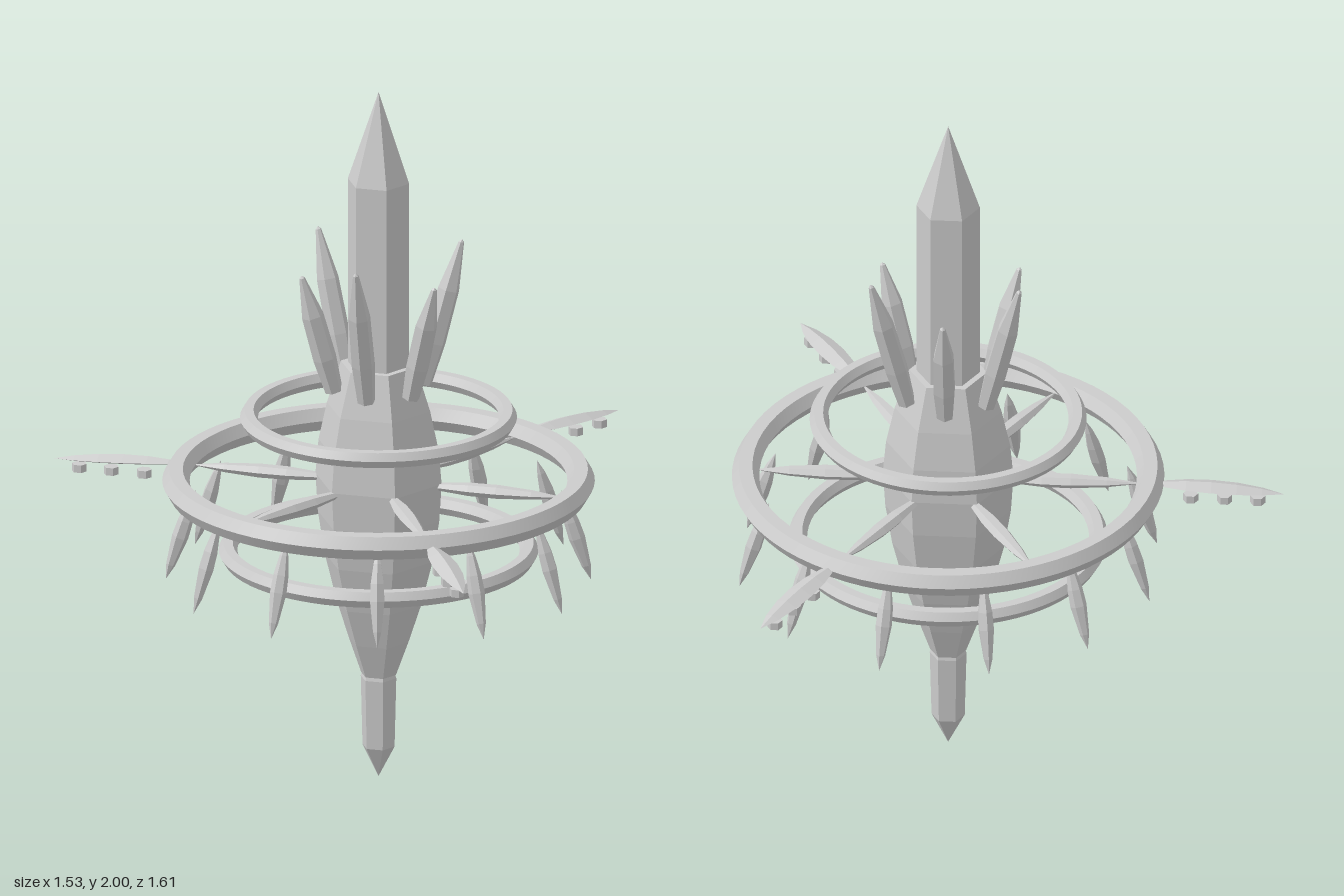
import * as THREE from 'three';
import { toCreasedNormals } from 'three/addons/utils/BufferGeometryUtils.js';

const flat = new THREE.MeshStandardMaterial({ color: 0xcccccc, flatShading: true });
const smooth = new THREE.MeshStandardMaterial({ color: 0xcccccc });

// faceted solid of revolution from [radius, height] pairs, bottom to top
function facet(profile, sides = 6) {
  const pts = profile.map(([r, y]) => new THREE.Vector2(r, y));
  return new THREE.LatheGeometry(pts, sides, Math.PI / 2);
}

function add(parent, name, geometry, material = flat) {
  const mesh = new THREE.Mesh(geometry, material);
  mesh.name = name;
  parent.add(mesh);
  return mesh;
}

// horizontal blade lying along +x, flattened to the given thickness ratio
function blade(profile, ratio, sides) {
  return facet(profile, sides).rotateY(Math.PI / 2).scale(ratio, 1, 1).rotateZ(-Math.PI / 2);
}

// turn a group so that its +x points outwards at an angle measured from +x towards +z
function spoke(parent, name, degrees) {
  const g = new THREE.Group();
  g.name = name;
  g.rotation.y = -THREE.MathUtils.degToRad(degrees);
  parent.add(g);
  return g;
}

export function createModel() {
  const root = new THREE.Group();
  const station = new THREE.Group();
  station.name = 'station';
  station.position.x = -0.167;
  root.add(station);

  // central hexagonal column
  add(station, 'lowerCrystal', facet([[0, 0], [0.046, 0.09], [0.051, 0.29], [0.045, 0.31], [0, 0.31]]));
  add(station, 'hull', facet([[0, 0.295], [0.05, 0.3], [0.086, 0.4], [0.122, 0.51], [0.155, 0.64],
    [0.174, 0.76], [0.181, 0.87], [0.172, 0.97], [0.148, 1.08], [0.108, 1.205], [0, 1.205]]));
  add(station, 'spire', facet([[0, 1.19], [0.088, 1.19], [0.088, 1.74], [0, 2]]));

  // rings with a hexagonal section
  for (const [name, y, R, r] of [
    ['upperRing', 1.05, 0.358, 0.025],
    ['mainRing', 0.865, 0.56, 0.038],
    ['lowerRing', 0.662, 0.416, 0.026],
  ]) {
    const geo = new THREE.TorusGeometry(R, r, 6, 72).rotateX(Math.PI / 2);
    add(station, name, toCreasedNormals(geo, 0.6), smooth).position.y = y;
  }

  // crown of leaning crystals, alternately long and short
  for (let i = 0; i < 6; i++) {
    const L = i % 2 ? 0.365 : 0.435;
    const g = spoke(station, 'crownCrystal', 30 + i * 60);
    const geo = facet([[0, 0], [0.025, 0.008], [0.033, L * 0.3], [0.031, L * 0.66],
      [0.008, L * 0.98], [0, L]]);
    const m = add(g, 'crystal', geo);
    m.position.set(0.125, 1.13, 0);
    m.rotation.z = -0.265;
  }

  // spokes between hull and main ring
  const spokeGeo = blade([[0, 0.14], [0.014, 0.17], [0.024, 0.26], [0.025, 0.34],
    [0.017, 0.44], [0, 0.54]], 0.75, 6);
  for (let i = 0; i < 6; i++) {
    add(spoke(station, 'spoke', i * 60), 'spokeBlade', spokeGeo).position.y = 0.862;
  }

  // three outer arms, each with three pods underneath
  const armGeo = blade([[0, 0.56], [0.018, 0.6], [0.031, 0.66], [0.036, 0.73], [0.033, 0.8],
    [0.021, 0.87], [0, 0.931]], 0.4, 4);
  const p = armGeo.attributes.position;
  for (let i = 0; i < p.count; i++) {
    // droop towards the tip
    const t = (p.getX(i) - 0.56) / 0.37;
    p.setY(i, p.getY(i) + 0.864 - 0.02 * t * t);
  }
  const podGeo = facet([[0, -0.011], [0.021, -0.011], [0.021, 0.011], [0, 0.011]]);
  for (let i = 0; i < 3; i++) {
    const g = spoke(station, 'outerArm', i * 120);
    add(g, 'armBlade', armGeo);
    for (const x of [0.672, 0.766, 0.858]) add(g, 'pod', podGeo).position.set(x, 0.825, 0);
  }

  // spikes hanging outwards below the main ring
  const spikeGeo = facet([[0, 0], [0.013, 0.045], [0.023, 0.13], [0.021, 0.18], [0.012, 0.235], [0, 0.275]]);
  for (let i = 0; i < 12; i++) {
    const m = add(spoke(station, 'hangingSpike', 15 + i * 30), 'spike', spikeGeo);
    m.position.set(0.588, 0.575, 0);
    m.rotation.z = 0.31;
  }

  return root;
}
